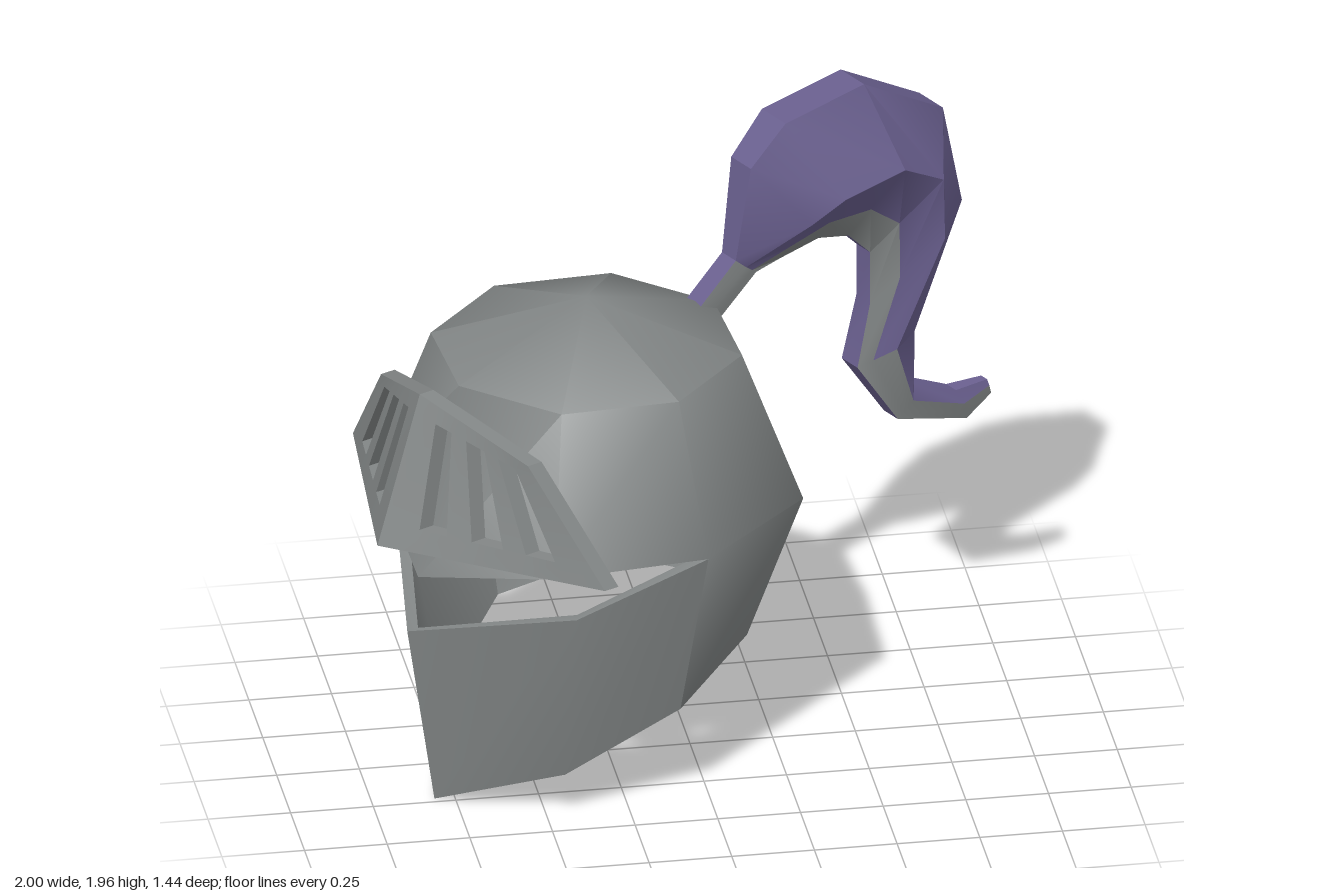
import * as THREE from 'three';
import { toCreasedNormals } from 'three/addons/utils/BufferGeometryUtils.js';

const V = (x, y, z) => new THREE.Vector3(x, y, z);

// Adds a quad as two triangles, dropping collapsed ones
function quad(out, a, b, c, d) {
  for (const t of [[a, b, c], [a, c, d]]) {
    const n = t[1].clone().sub(t[0]).cross(t[2].clone().sub(t[0]));
    if (n.length() > 1e-7) t.forEach(p => out.push(p.x, p.y, p.z));
  }
}

function makeMesh(name, pos, material, crease) {
  const g = new THREE.BufferGeometry();
  g.setAttribute('position', new THREE.Float32BufferAttribute(pos, 3));
  const mesh = new THREE.Mesh(toCreasedNormals(g, crease), material);
  mesh.name = name;
  return mesh;
}

// Thick sheet from rows of points (bottom to top), with inner wall and rims
function shell(rows, inset, skip = () => false, closed = false) {
  const out = [], ni = rows.length - 1, nj = rows[0].length - 1;
  const filled = (i, j) => {
    if (closed) j = (j + nj) % nj;
    return i >= 0 && i < ni && j >= 0 && j < nj && !skip(i, j);
  };
  for (let i = 0; i < ni; i++) for (let j = 0; j < nj; j++) {
    if (!filled(i, j)) continue;
    const c = [rows[i][j], rows[i][j + 1], rows[i + 1][j + 1], rows[i + 1][j]];
    const n = c.map(inset);
    quad(out, ...c);
    quad(out, n[0], n[3], n[2], n[1]);
    [[i - 1, j], [i, j + 1], [i + 1, j], [i, j - 1]].forEach(([a, b], e) => {
      const f = (e + 1) % 4;
      if (!filled(a, b)) quad(out, c[f], c[e], n[e], n[f]);
    });
  }
  return out;
}

export function createModel() {
  const steel = new THREE.MeshStandardMaterial({ color: 0x828686 });
  steel.name = 'steel grey';
  const purple = new THREE.MeshStandardMaterial({ color: 0x695f8e });
  purple.name = 'plume purple';

  // Everything is built facing +z, then turned as a whole
  const helmet = new THREE.Group();
  helmet.name = 'helmet';

  // Half profiles from front (0) to back (4), mirrored into eight columns
  const lower = [V(0, 0, 0.56), V(0.34, 0.15, 0.325), V(0.478, 0.33, 0), V(0.343, 0.42, -0.343), V(0, 0.44, -0.5)];
  const equator = [V(0, 0.76, 0.62), V(0.46, 0.89, 0.45), V(0.62, 0.89, 0), V(0.463, 0.89, -0.463), V(0, 0.89, -0.65)];
  const crown = [0, 1, 2, 3, 4].map(k => V(0.47 * Math.sin(k * Math.PI / 4), 1.355, 0.47 * Math.cos(k * Math.PI / 4)));
  const apex = Array(5).fill(V(0, 1.515, 0));
  const jawTop = [V(0, 0.59, 0.66), V(0.46, 0.73, 0.37), V(0.62, 0.89, 0)];
  const at = (half, k) => {
    k = (k + 8) % 8;
    return k <= 4 ? half[k].clone() : V(-half[8 - k].x, half[8 - k].y, half[8 - k].z);
  };
  const ring = (half, from, to) => {
    const r = [];
    for (let k = from; k <= to; k++) r.push(at(half, k));
    return r;
  };
  const inset = p => V(p.x * 0.94, p.y > 0.9 ? 0.9 + (p.y - 0.9) * 0.94 : p.y, p.z * 0.94);

  // Dome with neck guard; the front of the lowest row is left to the jaw
  const dome = shell([lower, equator, crown, apex].map(h => ring(h, 0, 8)), inset,
    (i, j) => i === 0 && (j < 2 || j > 5), true);
  helmet.add(makeMesh('dome', dome, steel, 0.95));

  // Jaw guard below the eye slit
  const jaw = shell([ring(lower, -2, 2), ring(jawTop, -2, 2)], inset);
  helmet.add(makeMesh('jawGuard', jaw, steel, 0.8));

  // Pointed visor with three slots on each side
  const us = [0, 0.17, 0.3, 0.42, 0.57, 0.68, 0.82, 1];
  const columns = [...us.slice(1).reverse().map(u => -u), ...us];
  const visorRows = [0, 0.16, 0.88, 1].map(v => columns.map(u => {
    const a = Math.abs(u), s = Math.sign(u);
    const low = V(0, 0.91, 0.77).lerp(V(0.64 * s, 0.91, 0.396), a);
    const high = V(0, 1.37, 0.614).lerp(V(0.373 * s, 1.245, 0.486), a);
    return low.lerp(high, v);
  }));
  const visor = shell(visorRows, p => V(p.x, p.y, p.z - 0.05),
    (i, j) => i === 1 && (j >= 7 ? j - 7 : 6 - j) % 2 === 1);
  helmet.add(makeMesh('visor', visor, steel, 0.3));

  // Plume sections: outer (back, y, half width), side (same), inner (same), sideways shift
  const sections = [
    [0.39, 1.37, 0.035, 0.425, 1.34, 0.04, 0.46, 1.31, 0.035, 0],
    [0.525, 1.49, 0.035, 0.56, 1.46, 0.04, 0.6, 1.43, 0.035, 0],
    [0.57, 1.79, 0.05, 0.72, 1.6, 0.155, 0.69, 1.45, 0.035, 0],
    [0.69, 1.91, 0.06, 0.82, 1.67, 0.19, 0.83, 1.475, 0.035, 0],
    [0.98, 1.955, 0.06, 1.03, 1.71, 0.2, 0.94, 1.45, 0.035, 0],
    [1.27, 1.79, 0.06, 1.19, 1.62, 0.175, 1.02, 1.37, 0.035, 0],
    [1.34, 1.46, 0.06, 1.22, 1.4, 0.14, 1.02, 1.2, 0.035, 0],
    [1.18, 1.06, 0.04, 1.08, 1.05, 0.09, 0.97, 1.0, 0.04, 0],
    [1.16, 0.9, 0.035, 1.14, 0.86, 0.06, 1.1, 0.8, 0.035, 0.03],
    [1.3, 0.845, 0.025, 1.32, 0.8, 0.04, 1.34, 0.74, 0.025, 0.06],
    [1.4, 0.86, 0.015, 1.405, 0.84, 0.02, 1.415, 0.81, 0.015, 0.09],
  ].map(([ot, oy, ow, st, sy, sw, it, iy, iw, s]) => {
    const side = V(s + sw, sy, -st), inner = V(s + iw, iy, -it);
    return [V(s + ow, oy, -ot), side, side.clone().lerp(inner, 0.6), inner,
      V(s - iw, iy, -it), V(s - sw, sy, -st), V(s - ow, oy, -ot)];
  });
  const feather = [], lining = [];
  const last = sections.length - 2;
  for (let i = 0; i <= last; i++) for (let k = 0; k < 7; k++) {
    const a = sections[i], b = sections[i + 1], m = (k + 1) % 7;
    // Grey on the left of the stem, along the inner curve and under the tip
    const grey = i === 0 ? k < 3 : k === 2 || (k === 1 && i >= 7);
    quad(grey ? lining : feather, a[k], a[m], b[m], b[k]);
  }
  // Close both ends of the plume
  for (let k = 1; k < 6; k++) {
    const a = sections[0], b = sections[last + 1];
    quad(feather, a[0], a[k + 1], a[k], a[0]);
    quad(feather, b[0], b[k], b[k + 1], b[0]);
  }
  const plume = new THREE.Group();
  plume.name = 'plume';
  plume.add(makeMesh('plumeFeather', feather, purple, 0.5));
  plume.add(makeMesh('plumeLining', lining, steel, 0.5));
  helmet.add(plume);

  helmet.rotation.y = -1.11;
  helmet.position.set(-0.31, 0, -0.02);
  const model = new THREE.Group();
  model.name = 'plumedHelmet';
  model.add(helmet);
  return model;
}
